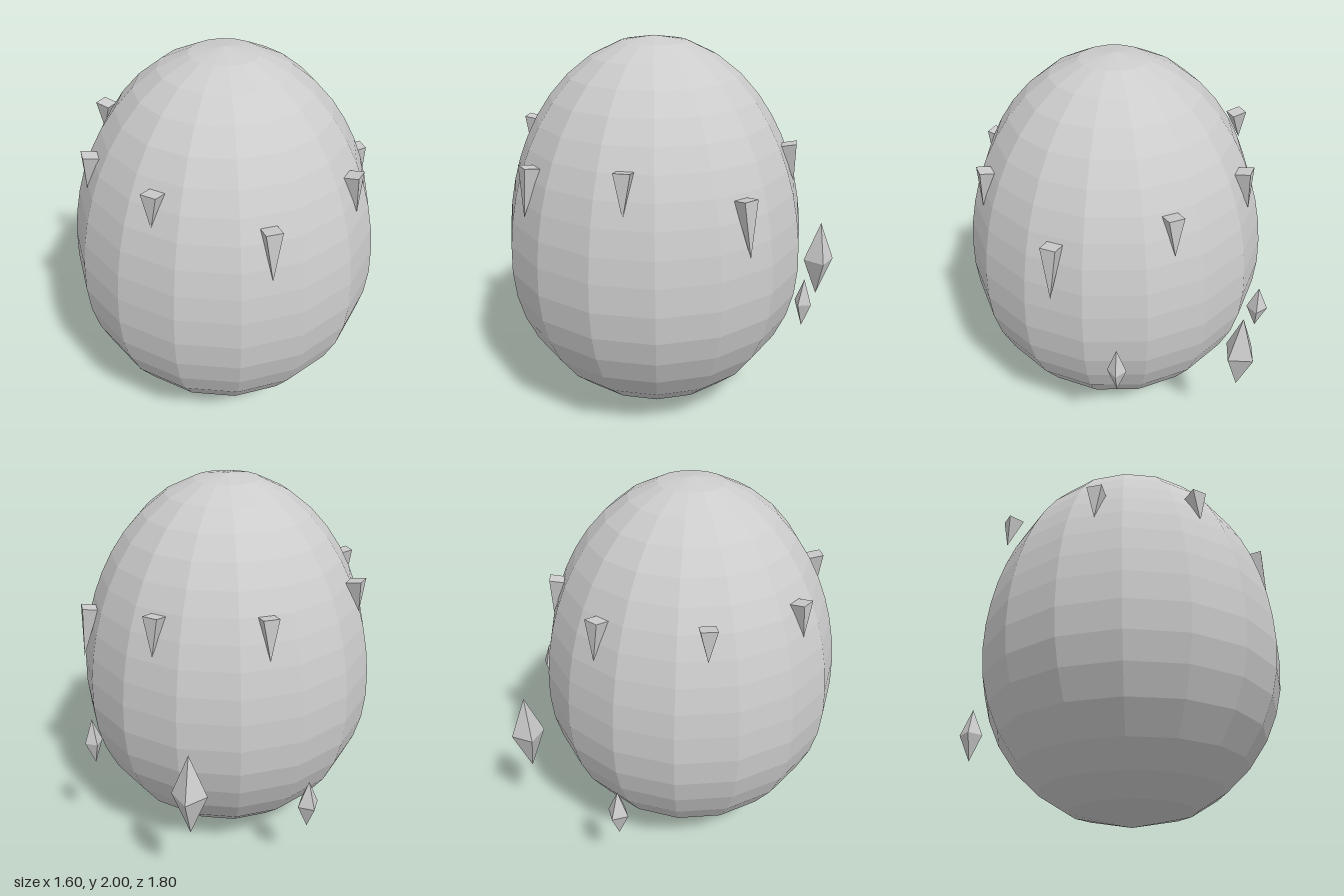
import * as THREE from 'three';

const grey = new THREE.MeshStandardMaterial({ color: 0xcccccc, flatShading: true });
grey.name = 'pale grey';

export function createModel() {
  const model = new THREE.Group();
  const add = (name, geometry) => {
    const mesh = new THREE.Mesh(geometry, grey);
    mesh.name = name;
    model.add(mesh);
    return mesh;
  };
  const eggZ = 0.1;

  // Sixteen-sided egg: a tall half ellipse above a shorter one
  const middle = 0.85, radius = 0.8;
  const levels = [0, 0.072, 0.164, 0.28, 0.425, 0.565, 0.7, 0.845, 0.99, 1.12, 1.25,
    1.37, 1.485, 1.595, 1.705, 1.81, 1.903, 1.973, 2];
  const profile = levels.map((y) => {
    const t = (y - middle) / (y > middle ? 2 - middle : middle);
    return new THREE.Vector2(radius * Math.sqrt(Math.max(0, 1 - t * t)), y);
  });
  add('eggShell', new THREE.LatheGeometry(profile, 16)).position.z = eggZ;

  // Downward spikes lying along the shell: [x, z, top, length]
  const spikes = [
    [-0.135, -0.58, 1.49, 0.21],
    [0.385, -0.48, 1.475, 0.2],
    [-0.6, -0.3, 1.55, 0.16],
    [0.73, -0.045, 1.35, 0.28],
    [-0.66, 0.23, 1.53, 0.18],
    [0.567, 0.48, 1.5, 0.21],
    [-0.365, 0.645, 1.56, 0.17],
    [0.135, 0.8, 1.44, 0.25],
  ];
  spikes.forEach(([x, z, top, length]) => {
    const geometry = new THREE.CylinderGeometry(0.056, 0, length, 4, 1, false, Math.PI / 4);
    geometry.translate(0, -length / 2, 0);
    const spike = add('spike', geometry);
    spike.position.set(x, top, z);
    spike.rotation.set(-0.18, Math.atan2(x, z - eggZ), 0, 'YXZ');
  });

  // Floating crystals: [x, y, z, half width, half height, turn]
  const crystals = [
    [0.255, 0.705, -0.82, 0.088, 0.225, -0.27],
    [-0.35, 0.48, -0.66, 0.06, 0.14, 0.4],
    [0.73, 0.75, -0.395, 0.047, 0.13, 0.45],
  ];
  crystals.forEach(([x, y, z, halfWidth, halfHeight, turn]) => {
    const crystal = add('crystal', new THREE.OctahedronGeometry(1));
    crystal.scale.set(halfWidth, halfHeight, halfWidth);
    crystal.position.set(x, y, z);
    crystal.rotation.y = turn;
  });

  return model;
}
